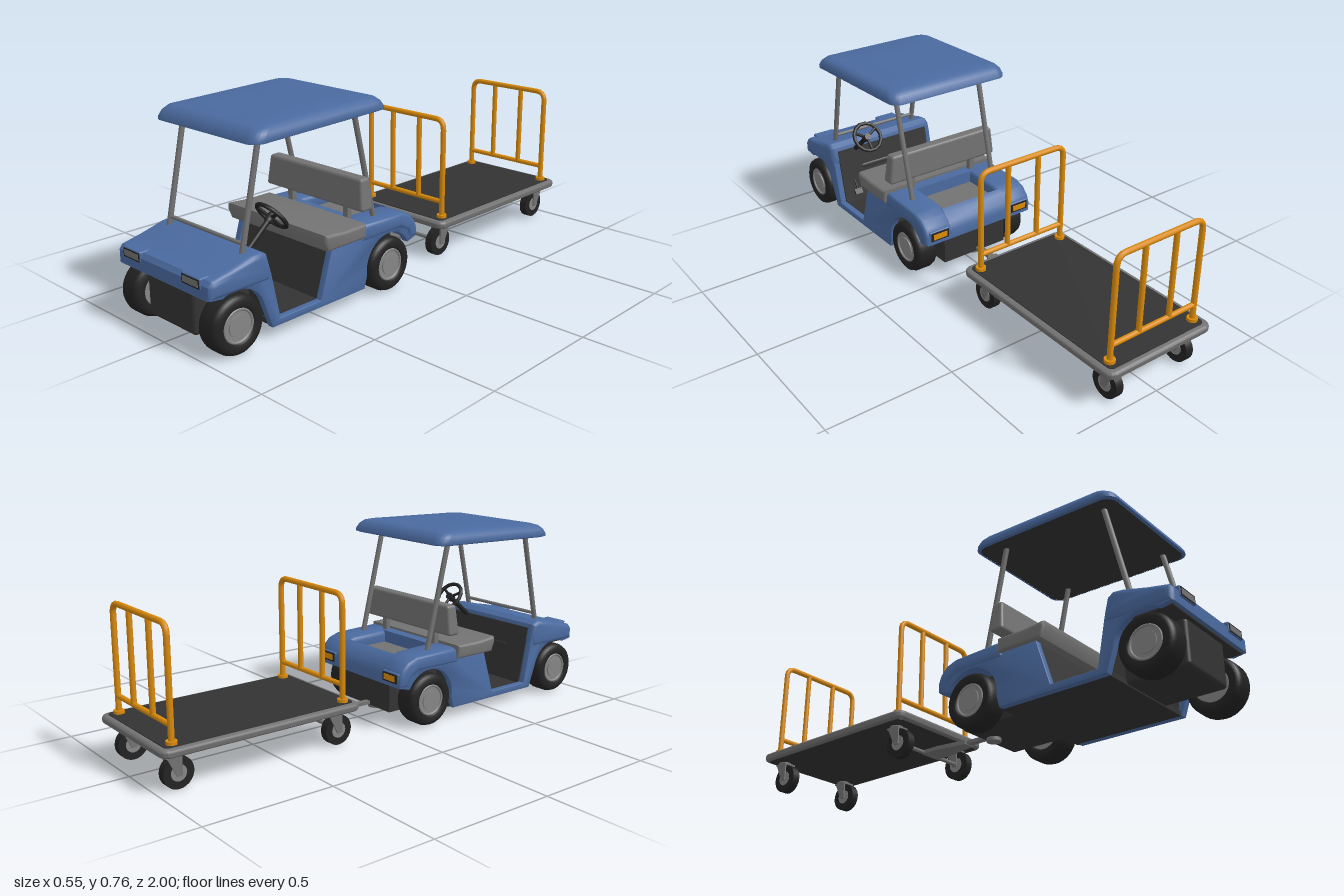
import * as THREE from 'three';
import { toCreasedNormals } from 'three/addons/utils/BufferGeometryUtils.js';
import { RoundedBoxGeometry } from 'three/addons/geometries/RoundedBoxGeometry.js';

const V = (x, y, z) => new THREE.Vector3(x, y, z);
const paint = (name, color, extra = {}) => Object.assign(new THREE.MeshStandardMaterial({ color, ...extra }), { name });

export function createModel() {
  const root = new THREE.Group();
  root.name = 'utilityCartWithTrailer';
  const blue = paint('bodyBlue', 0x4a6a9f);
  const grey = paint('trimGrey', 0x727272);
  const hubGrey = paint('hubGrey', 0x858585);
  const dark = paint('chassisDark', 0x333333);
  const black = paint('rubberBlack', 0x222222);
  const orange = paint('railOrange', 0xd98a0c);

  const cart = new THREE.Group(); cart.name = 'cart';
  const trailer = new THREE.Group(); trailer.name = 'trailer';
  root.add(cart, trailer);

  // --- helpers ---
  const add = (parent, name, geo, mat, x = 0, y = 0, z = 0) => {
    const m = new THREE.Mesh(geo, mat);
    m.name = name;
    m.position.set(x, y, z);
    parent.add(m);
    return m;
  };
  const box = (parent, name, mat, x0, x1, y0, y1, z0, z1, r = 0) => {
    const s = [x1 - x0, y1 - y0, z1 - z0];
    const g = r ? new RoundedBoxGeometry(...s, 3, r) : new THREE.BoxGeometry(...s);
    return add(parent, name, g, mat, (x0 + x1) / 2, (y0 + y1) / 2, (z0 + z1) / 2);
  };
  const rod = (parent, name, mat, a, b, r, sides = 14) => {
    const d = b.clone().sub(a);
    const m = add(parent, name, new THREE.CylinderGeometry(r, r, d.length(), sides), mat);
    m.position.copy(a).add(b).multiplyScalar(0.5);
    m.quaternion.setFromUnitVectors(V(0, 1, 0), d.normalize());
    return m;
  };
  const shapeOf = pts => new THREE.Shape(pts.map(p => new THREE.Vector2(...p)));
  // Side profile in (z, y), extruded across x from x0 to x1
  const slab = (parent, name, mat, shape, x0, x1, bevel = 0) => {
    let g = new THREE.ExtrudeGeometry(shape, {
      depth: x1 - x0 - 2 * bevel, curveSegments: 20, bevelEnabled: bevel > 0,
      bevelSize: bevel, bevelThickness: bevel, bevelOffset: -bevel, bevelSegments: 4,
    });
    g.rotateY(-Math.PI / 2);
    g.translate(x1 - bevel, 0, 0);
    g = toCreasedNormals(g, 0.6);
    return add(parent, name, g, mat);
  };
  const roundRect = (hx, hz, r) => {
    const s = new THREE.Shape();
    [[hx - r, hz - r], [-hx + r, hz - r], [-hx + r, -hz + r], [hx - r, -hz + r]].forEach(([x, y], i) =>
      s.absarc(x, y, r, i * Math.PI / 2, (i + 1) * Math.PI / 2, false));
    return s;
  };
  const flat = (parent, name, mat, shape, y0, y1, x, z, bevel = 0) => {
    let g = new THREE.ExtrudeGeometry(shape, {
      depth: y1 - y0 - 2 * bevel, curveSegments: 6, bevelEnabled: bevel > 0,
      bevelSize: bevel, bevelThickness: bevel, bevelOffset: -bevel, bevelSegments: 4,
    });
    g.rotateX(-Math.PI / 2);
    g = toCreasedNormals(g, 0.6);
    return add(parent, name, g, mat, x, y0 + bevel, z);
  };

  // --- bonnet and firewall ---
  slab(cart, 'bonnet', blue, shapeOf([[0.993, 0.22], [0.993, 0.268], [0.98, 0.285], [0.9, 0.302],
    [0.81, 0.326], [0.775, 0.33], [0.75, 0.315], [0.735, 0.26], [0.74, 0.22]]), -0.26, 0.26, 0.022);
  box(cart, 'bonnetUnderside', dark, -0.235, 0.235, 0.214, 0.222, 0.75, 0.98);
  slab(cart, 'firewall', dark, shapeOf([[0.739, 0.3], [0.725, 0.22], [0.69, 0.06], [0.72, 0.05], [0.76, 0.3]]), -0.228, 0.228);
  box(cart, 'frontChassis', dark, -0.13, 0.13, 0.05, 0.222, 0.72, 0.965, 0.015);

  // --- side panels, fenders, lights ---
  const side = shapeOf([[0.99, 0.222], [0.98, 0.25], [0.8, 0.28], [0.745, 0.28], [0.735, 0.24], [0.7, 0.07],
    [0.51, 0.07], [0.455, 0.25], [0.29, 0.25], [0.28, 0.27], [0.06, 0.27], [0.012, 0.22], [0.005, 0.178], [0.055, 0.165]]);
  side.absarc(0.16, 0.11, 0.118, 2.65, -0.15, true);
  side.lineTo(0.29, 0.045);
  side.lineTo(0.735, 0.045);
  side.absarc(0.885, 0.108, 0.12, 2.85, 1.1, true);
  const fender = shapeOf([[0.31, 0.232], [0.3, 0.285], [0.285, 0.296], [0.09, 0.29], [0.045, 0.275],
    [0.015, 0.245], [0.003, 0.215], [0.003, 0.178], [0.045, 0.178], [0.06, 0.21], [0.1, 0.232]]);
  for (const s of [-1, 1]) {
    const span = (a, b) => (s > 0 ? [a, b] : [-b, -a]);
    slab(cart, 'sidePanel', blue, side, ...span(0.225, 0.254), 0.004);
    slab(cart, 'rearFender', blue, fender, ...span(0.13, 0.26), 0.018);
    box(cart, 'headlightHousing', blue, ...span(0.115, 0.213), 0.25, 0.291, 0.93, 0.998, 0.006);
    box(cart, 'headlightFrame', black, ...span(0.118, 0.21), 0.254, 0.286, 0.994, 0.999);
    box(cart, 'headlightLens', grey, ...span(0.123, 0.205), 0.259, 0.281, 0.995, 1.0);
    box(cart, 'tailLightHousing', blue, ...span(0.15, 0.245), 0.19, 0.235, 0.002, 0.05, 0.006);
    box(cart, 'tailLightFrame', black, ...span(0.157, 0.238), 0.195, 0.23, -0.001, 0.004);
    box(cart, 'tailLightLens', orange, ...span(0.166, 0.229), 0.201, 0.224, -0.003, 0.003);
  }

  // --- rear deck with cargo well ---
  slab(cart, 'tailPanel', blue, shapeOf([[0.065, 0.2], [0.065, 0.285], [0.045, 0.275], [0.015, 0.245],
    [0.003, 0.215], [0.003, 0.178], [0.045, 0.178]]), -0.145, 0.145);
  box(cart, 'deckCrossPanel', blue, -0.15, 0.15, 0.225, 0.295, 0.25, 0.3);
  box(cart, 'cargoFloor', grey, -0.135, 0.135, 0.236, 0.246, 0.06, 0.255);
  box(cart, 'rearChassis', dark, -0.15, 0.15, 0.05, 0.238, 0.04, 0.32);
  slab(cart, 'seatBase', dark, shapeOf([[0.29, 0.05], [0.505, 0.06], [0.45, 0.25], [0.29, 0.25]]), -0.228, 0.228);
  box(cart, 'floor', dark, -0.235, 0.235, 0.046, 0.066, 0.28, 0.73);

  // --- seat ---
  const seat = slab(cart, 'seatCushion', grey, shapeOf([[0.295, 0.248], [0.485, 0.248], [0.5, 0.285], [0.498, 0.31],
    [0.4, 0.303], [0.295, 0.303]]), -0.27, 0.27, 0.012);
  seat.position.y = 0.001;
  const back = box(cart, 'seatBack', grey, -0.26, 0.26, 0.345, 0.466, 0.252, 0.31, 0.012);
  const bp = back.geometry.attributes.position;
  for (let i = 0; i < bp.count; i++) {
    const t = bp.getY(i) / 0.121 + 0.5;
    bp.setX(i, bp.getX(i) * (1 - 0.06 * t));
    bp.setZ(i, bp.getZ(i) * (1 - 0.2 * t) - 0.004 * t);
  }
  back.geometry.computeVertexNormals();
  for (const x of [-0.15, 0.15]) box(cart, 'seatBackBracket', grey, x - 0.012, x + 0.012, 0.28, 0.37, 0.265, 0.285);

  // --- roof: stacked rounded rings with a gentle rise to the back ---
  const ringDefs = [[0.262, 0.3, -0.001], [0.271, 0.311, 0.003], [0.273, 0.309, 0.013], [0.268, 0.297, 0.032],
    [0.256, 0.281, 0.046], [0.235, 0.262, 0.052], [0.12, 0.13, 0.055]];
  const pos = [], idx = [];
  let n = 0;
  ringDefs.forEach(([hx, hz, y], k) => {
    const pts = roundRect(hx, hz, 0.045).getPoints(6);
    n = pts.length;
    pts.forEach(p => pos.push(p.x, 0.7 + y - p.y * 0.03, 0.494 + p.y));
    if (k) for (let i = 0; i < n; i++) {
      const j = (i + 1) % n, a = (k - 1) * n, b = k * n;
      idx.push(a + i, b + i, a + j, a + j, b + i, b + j);
    }
  });
  const top = (ringDefs.length - 1) * n;
  for (let i = 1; i < n - 1; i++) idx.push(top, top + i + 1, top + i);
  let roofGeo = new THREE.BufferGeometry();
  roofGeo.setAttribute('position', new THREE.Float32BufferAttribute(pos, 3));
  roofGeo.setIndex(idx);
  roofGeo = toCreasedNormals(roofGeo, 0.7);
  add(cart, 'roof', roofGeo, blue);
  const lining = flat(cart, 'roofLining', dark, roundRect(0.263, 0.301, 0.045), -0.001, 0.005, 0, 0);
  lining.position.set(0, 0.7, 0.494);
  lining.rotation.x = 0.03;

  for (const x of [-0.2, 0.2]) {
    rod(cart, 'frontRoofPost', grey, V(x, 0.31, 0.815), V(x, 0.705, 0.727), 0.0105);
    rod(cart, 'rearRoofPost', grey, V(x, 0.28, 0.188), V(x, 0.715, 0.292), 0.0105);
  }
  rod(cart, 'dashRail', grey, V(-0.2, 0.351, 0.806), V(0.2, 0.351, 0.806), 0.007);

  // --- steering and pedals ---
  const steering = new THREE.Group();
  steering.name = 'steeringWheel';
  steering.position.set(0.14, 0.39, 0.63);
  steering.quaternion.setFromUnitVectors(V(0, 0, 1), V(0, 0.62, -0.785).normalize());
  cart.add(steering);
  add(steering, 'steeringRim', new THREE.TorusGeometry(0.062, 0.008, 8, 14), black);
  for (const a of [Math.PI / 2, Math.PI * 7 / 6, Math.PI * 11 / 6])
    rod(steering, 'steeringSpoke', black, V(0, 0, -0.008), V(Math.cos(a) * 0.06, Math.sin(a) * 0.06, 0), 0.006, 8);
  rod(steering, 'steeringHub', black, V(0, 0, -0.025), V(0, 0, 0.006), 0.015);
  rod(cart, 'steeringColumn', black, V(0.14, 0.38, 0.643), V(0.14, 0.275, 0.765), 0.01);
  for (const x of [0.1, 0.17]) {
    rod(cart, 'pedalArm', black, V(x, 0.18, 0.73), V(x, 0.11, 0.685), 0.004, 8);
    box(cart, 'pedalPad', black, x - 0.018, x + 0.018, 0.1, 0.125, 0.68, 0.688).rotation.x = 0.6;
  }

  // --- road wheels ---
  const tyreGeo = new THREE.LatheGeometry([[0.062, -0.04], [0.068, -0.047], [0.088, -0.047], [0.1, -0.04], [0.105, -0.026],
    [0.105, 0.026], [0.1, 0.04], [0.088, 0.047], [0.068, 0.047], [0.062, 0.04]].map(p => new THREE.Vector2(...p)), 36).rotateZ(Math.PI / 2);
  for (const z of [0.885, 0.16]) {
    rod(cart, 'axle', dark, V(-0.2, 0.105, z), V(0.2, 0.105, z), 0.021);
    for (const s of [-1, 1]) {
      const x = s * 0.218;
      add(cart, 'tyre', tyreGeo, black, x, 0.105, z);
      rod(cart, 'wheelDisc', hubGrey, V(x - 0.038, 0.105, z), V(x + 0.038, 0.105, z), 0.0635, 32);
      add(cart, 'wheelRimRing', new THREE.TorusGeometry(0.058, 0.005, 8, 32).rotateY(Math.PI / 2), hubGrey, x + s * 0.039, 0.105, z);
      rod(cart, 'hubCap', hubGrey, V(x, 0.105, z), V(x + s * 0.043, 0.105, z), 0.04, 24);
    }
  }

  // --- trailer platform ---
  const cx = -0.018, cz = -0.592;
  flat(trailer, 'platformRim', grey, roundRect(0.243, 0.408, 0.035), 0.136, 0.167, cx, cz, 0.012);
  flat(trailer, 'platformMat', dark, roundRect(0.222, 0.386, 0.02), 0.162, 0.17, cx, cz);
  flat(trailer, 'platformUnderside', dark, roundRect(0.225, 0.39, 0.02), 0.133, 0.14, cx, cz);

  // --- orange end rails ---
  for (const z of [-0.24, -0.943]) {
    const path = new THREE.CurvePath();
    const l = cx - 0.196, r = cx + 0.196, h = 0.575, c = 0.04;
    path.add(new THREE.LineCurve3(V(l, 0.165, z), V(l, h - c, z)));
    path.add(new THREE.QuadraticBezierCurve3(V(l, h - c, z), V(l, h, z), V(l + c, h, z)));
    path.add(new THREE.LineCurve3(V(l + c, h, z), V(r - c, h, z)));
    path.add(new THREE.QuadraticBezierCurve3(V(r - c, h, z), V(r, h, z), V(r, h - c, z)));
    path.add(new THREE.LineCurve3(V(r, h - c, z), V(r, 0.165, z)));
    add(trailer, 'railHoop', new THREE.TubeGeometry(path, 90, 0.011, 12), orange);
    rod(trailer, 'railLowerBar', orange, V(l, 0.235, z), V(r, 0.235, z), 0.01);
    for (const x of [-0.09, 0.052]) rod(trailer, 'railUpright', orange, V(x, 0.235, z), V(x, h, z), 0.0105);
    for (const x of [l, r]) rod(trailer, 'railFoot', orange, V(x, 0.167, z), V(x, 0.182, z), 0.02, 18);
  }

  // --- castors ---
  for (const z of [-0.25, -0.915]) for (const x of [cx - 0.168, cx + 0.168]) {
    rod(trailer, 'castorTyre', black, V(x - 0.016, 0.058, z), V(x + 0.016, 0.058, z), 0.058, 28);
    rod(trailer, 'castorHub', hubGrey, V(x - 0.018, 0.058, z), V(x + 0.018, 0.058, z), 0.03, 20);
    rod(trailer, 'castorSwivel', grey, V(x, 0.115, z - 0.025), V(x, 0.137, z - 0.025), 0.026, 18);
    box(trailer, 'castorBridge', grey, x - 0.026, x + 0.026, 0.118, 0.125, z - 0.05, z + 0.01);
    for (const s of [-1, 1]) slab(trailer, 'castorFork', grey, shapeOf([[z - 0.048, 0.125], [z - 0.01, 0.048],
      [z + 0.01, 0.05], [z + 0.01, 0.125]]), x + s * 0.023 - 0.003, x + s * 0.023 + 0.003);
  }

  // --- tow bar ---
  rod(trailer, 'towCrossBar', grey, V(cx - 0.168, 0.06, -0.25), V(cx + 0.168, 0.06, -0.25), 0.008);
  box(trailer, 'towBar', grey, cx - 0.013, cx + 0.013, 0.054, 0.067, -0.2, 0.08);
  flat(trailer, 'towPlate', grey, shapeOf([[-0.022, 0.05], [-0.042, 0.18], [-0.042, 0.255], [0.042, 0.255],
    [0.042, 0.18], [0.022, 0.05]].map(([x, d]) => [x, -d]).reverse()), 0.052, 0.068, cx, 0).scale.z = -1;
  trailer.children.at(-1).geometry.scale(1, 1, 1);
  trailer.children.at(-1).scale.z = 1;
  trailer.children.at(-1).rotation.y = 0;
  trailer.children.at(-1).geometry.rotateY(Math.PI);
  rod(trailer, 'towCoupling', grey, V(cx, 0.036, 0.075), V(cx, 0.07, 0.075), 0.028, 18);
  return root;
}
